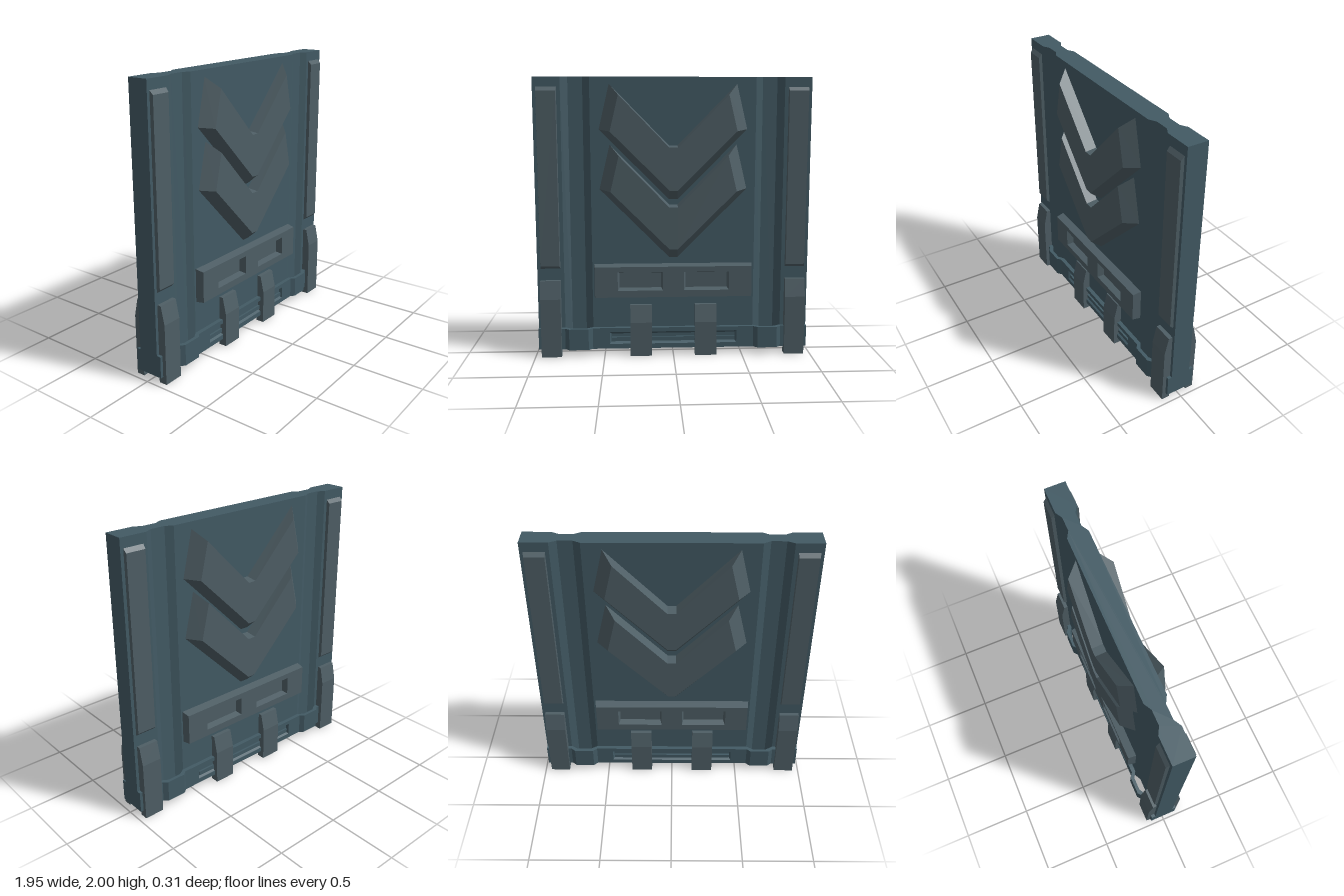
import * as THREE from 'three';

const bodyMat = new THREE.MeshStandardMaterial({ color: 0x425a64, flatShading: true });
const trimMat = new THREE.MeshStandardMaterial({ color: 0x4e5e65, flatShading: true });

const V = (pts) => pts.map(([x, y]) => new THREE.Vector2(x, y));
const rect = (x0, y0, x1, y1) => [[x0, y0], [x1, y0], [x1, y1], [x0, y1]];

function add(group, name, geometry, material) {
  const mesh = new THREE.Mesh(geometry, material);
  mesh.name = name;
  group.add(mesh);
  return mesh;
}

// Bevelled block: outline at z0 rising to a face outline at z1,
// with optional sunken windows { top, floor, z }. Outlines run counter-clockwise.
function block(base, z0, face, z1, windows = []) {
  const pos = [];
  const wall = (a, za, b, zb) => a.forEach((p, i) => {
    const j = (i + 1) % a.length;
    pos.push(...p, za, ...a[j], za, ...b[j], zb, ...p, za, ...b[j], zb, ...b[i], zb);
  });
  const cap = (outline, holes, z) => {
    const all = [outline, ...holes].flat();
    for (const f of THREE.ShapeUtils.triangulateShape(V(outline), holes.map(V)))
      for (const i of f) pos.push(...all[i], z);
  };
  wall(base, z0, face, z1);
  cap(face, windows.map((w) => [...w.top].reverse()), z1);
  for (const w of windows) {
    wall(w.top, z1, w.floor, w.z);
    cap(w.floor, [], w.z);
  }
  const g = new THREE.BufferGeometry();
  g.setAttribute('position', new THREE.Float32BufferAttribute(pos, 3));
  g.computeVertexNormals();
  return g;
}

// Plan outline of [x, z] points extruded upwards from y0 to y1.
function upright(pts, y0, y1) {
  const shape = new THREE.Shape(V(pts.map(([x, z]) => [x, -z])));
  return new THREE.ExtrudeGeometry(shape, { depth: y1 - y0, bevelEnabled: false })
    .rotateX(-Math.PI / 2).translate(0, y0, 0);
}

// Side profile of a foot clamp, extruded across x.
function clamp(x0, x1, bend, top) {
  const shape = new THREE.Shape(V([[0.07, 0], [0.13, 0], [0.13, bend], [0.102, top], [0.07, top]]));
  return new THREE.ExtrudeGeometry(shape, { depth: x1 - x0, bevelEnabled: false })
    .rotateY(-Math.PI / 2).translate(x1, 0, 0);
}

function chevron(dy) {
  const ring = (right) => {
    const r = right.map(([x, y]) => [x, y - dy]);
    return [...r, ...[...r].reverse().map(([x, y]) => [-x, y])];
  };
  const base = ring([[0.03, 1.14], [0.525, 1.638], [0.45, 1.955], [0.03, 1.525]]);
  const face = ring([[0.028, 1.213], [0.443, 1.626], [0.383, 1.878], [0.03, 1.514]]);
  return block(base, 0.07, face, 0.155);
}

// Everything mounted on one face of the panel.
function createFace(name) {
  const g = new THREE.Group();
  g.name = name;

  add(g, 'upperChevron', chevron(0), trimMat);
  add(g, 'lowerChevron', chevron(0.42), trimMat);

  // Plate with two sunken windows
  const windows = [-0.238, 0.238].map((c) => ({
    top: rect(c - 0.162, 0.49, c + 0.162, 0.625),
    floor: rect(c - 0.15, 0.502, c + 0.15, 0.612),
    z: 0.085,
  }));
  add(g, 'windowPlate', block(rect(-0.57, 0.435, 0.57, 0.677), 0.07,
    rect(-0.562, 0.441, 0.562, 0.664), 0.133, windows), trimMat);

  // Base band: slotted middle and bulging ends that bridge the grooves
  const slot = { top: rect(-0.462, 0.085, 0.462, 0.175), floor: rect(-0.452, 0.097, 0.452, 0.157), z: 0.08 };
  const middle = rect(-0.55, 0.05, 0.55, 0.205);
  add(g, 'baseBand', block(middle, 0.06, middle, 0.103, [slot]), bodyMat);
  add(g, 'slotBar', new THREE.BoxGeometry(0.9, 0.03, 0.02).translate(0, 0.117, 0.084), bodyMat);

  for (const s of [-1, 1]) {
    const side = s < 0 ? 'right' : 'left';
    const band = [[0.55, 0.06], [0.55, 0.103], [0.585, 0.103], [0.615, 0.128], [0.755, 0.128],
      [0.785, 0.103], [0.977, 0.103], [0.977, 0.06], [0.785, 0.072], [0.735, 0.103], [0.633, 0.103], [0.583, 0.072]];
    add(g, side + 'BaseBulge', upright(band.map(([x, z]) => [s * x, z]), 0.05, 0.205), bodyMat);

    const c = s * 0.883;
    add(g, side + 'Rail', block(rect(c - 0.072, 0.642, c + 0.072, 1.935), 0.07,
      rect(c - 0.068, 0.667, c + 0.068, 1.905), 0.096), trimMat);
    add(g, side + 'OuterFoot', clamp(c - 0.072, c + 0.072, 0.43, 0.56), trimMat);
    add(g, side + 'InnerFoot', clamp(s * 0.235 - 0.078, s * 0.235 + 0.078, 0.25, 0.375), trimMat);
  }
  return g;
}

export function createModel() {
  const model = new THREE.Group();
  model.name = 'barrierPanel';

  // Main slab with a vertical groove near each side, front and back
  const quarter = [[0.977, 0.073], [0.785, 0.073], [0.735, 0.045], [0.633, 0.045], [0.583, 0.073]];
  const front = [...quarter, ...[...quarter].reverse().map(([x, z]) => [-x, z])];
  const plan = [...front, ...[...front].reverse().map(([x, z]) => [x, -z])];
  add(model, 'panel', upright(plan, 0.05, 2), bodyMat);

  const back = createFace('backFace');
  back.rotation.y = Math.PI;
  model.add(createFace('frontFace'), back);
  return model;
}
